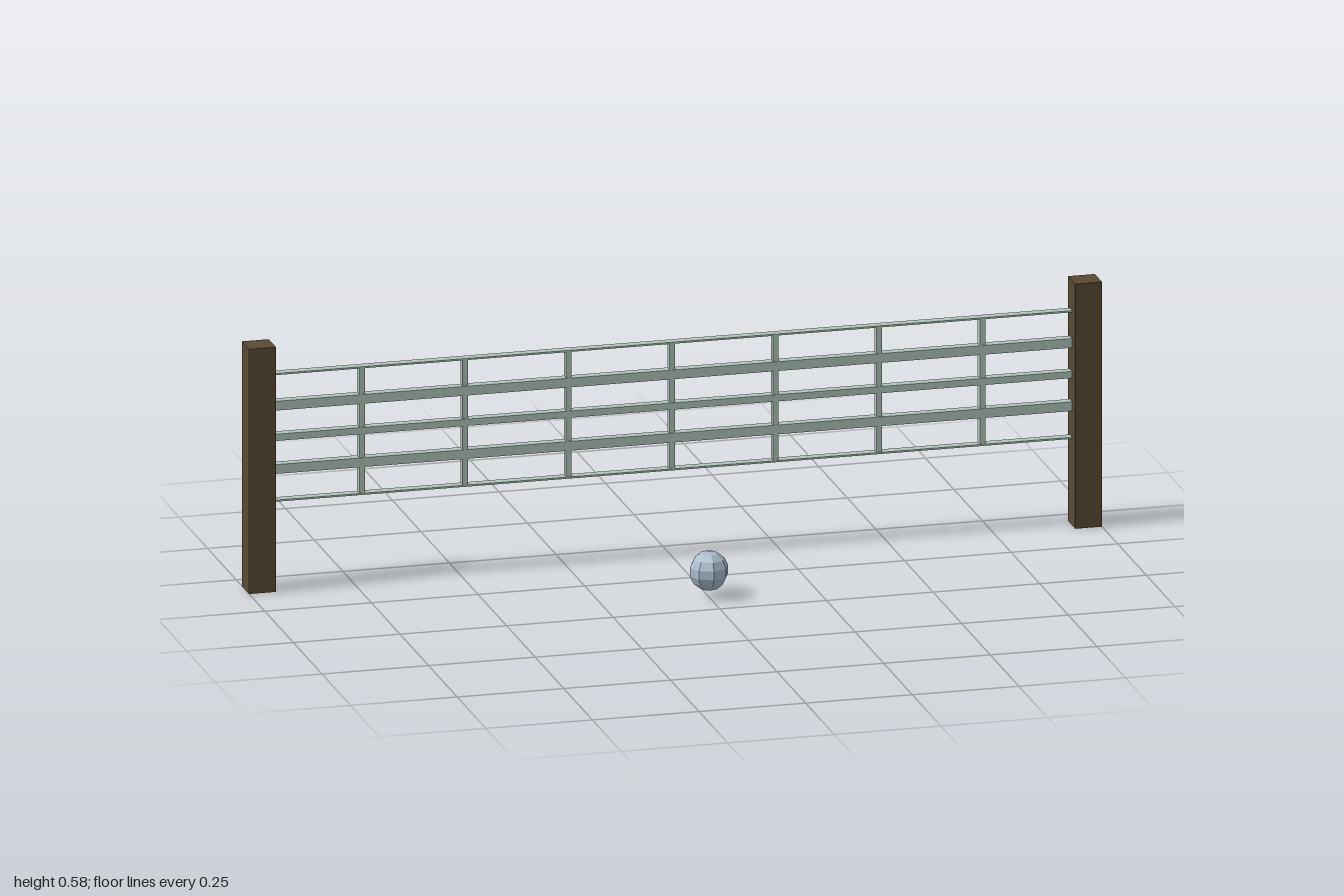
import * as THREE from 'three';

const wood = new THREE.MeshStandardMaterial({ color: 0x5a4a34, side: THREE.DoubleSide });
wood.name = 'darkWood';
const metal = new THREE.MeshStandardMaterial({ color: 0xb2c6bd });
metal.name = 'paleMetal';
const ballPaint = new THREE.MeshStandardMaterial({ color: 0xa9bccc, flatShading: true });
ballPaint.name = 'blueGrey';

const GATE_Z = -0.175;
const BOTTOM = 0.207;
const TOP = 0.507;

export function createModel() {
  const model = new THREE.Group();

  function add(name, geometry, material, x, y, z) {
    const mesh = new THREE.Mesh(geometry, material);
    mesh.name = name;
    mesh.position.set(x, y, z);
    model.add(mesh);
  }

  // Square posts, open underneath
  const postGeometry = new THREE.BoxGeometry(0.063, 0.58, 0.063);
  const faces = Array.from(postGeometry.index.array);
  faces.splice(18, 6);
  postGeometry.setIndex(faces);
  postGeometry.clearGroups();
  add('leftPost', postGeometry, wood, 0.9685, 0.29, -0.1685);
  add('rightPost', postGeometry, wood, -0.9685, 0.29, -0.1685);

  // Five rails: flat strips at top and bottom, thicker bars between
  const railHeights = [0.004, 0.022, 0.016, 0.022, 0.004];
  railHeights.forEach((height, i) => {
    const y = BOTTOM + ((TOP - BOTTOM) * i) / 4;
    add('rail' + (i + 1), new THREE.BoxGeometry(1.88, height, 0.022), metal, 0, y, GATE_Z);
  });

  // Seven uprights, evenly spaced
  const uprightGeometry = new THREE.BoxGeometry(0.013, TOP - BOTTOM, 0.018);
  for (let i = -3; i <= 3; i++) {
    add('upright' + (i + 4), uprightGeometry, metal, i * 0.2425, (TOP + BOTTOM) / 2, GATE_Z);
  }

  // Faceted ball in front of the gate
  add('ball', new THREE.SphereGeometry(0.046, 8, 7), ballPaint, 0, 0.0625, 0.154);

  return model;
}
